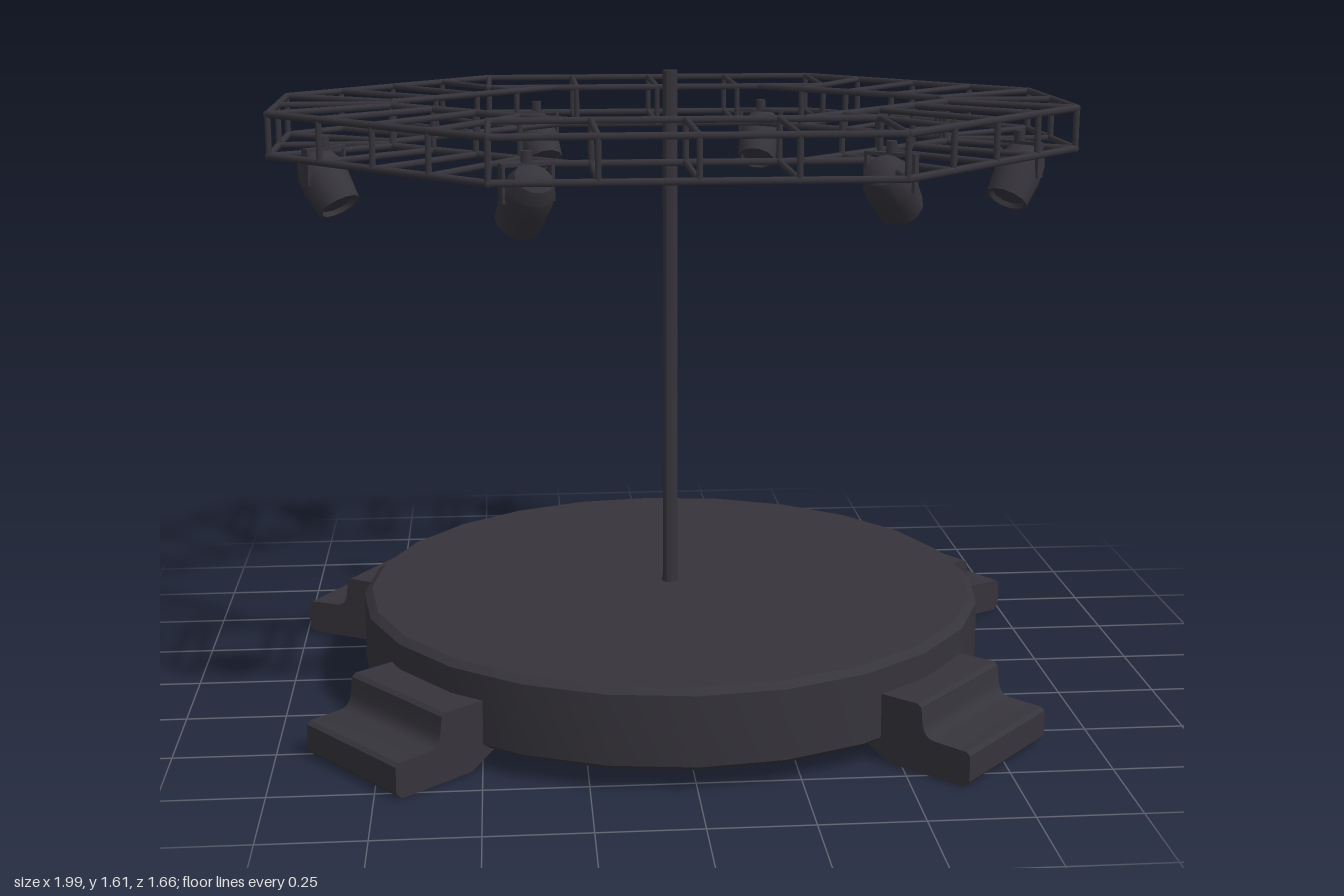
import * as THREE from 'three';
import { toCreasedNormals } from 'three/addons/utils/BufferGeometryUtils.js';

const charcoal = new THREE.MeshStandardMaterial({ color: 0x36343b });
charcoal.name = 'charcoal';
const V = (x, y, z) => new THREE.Vector3(x, y, z);
const UP = V(0, 1, 0);

function add(parent, name, geometry) {
  const mesh = new THREE.Mesh(geometry, charcoal);
  mesh.name = name;
  parent.add(mesh);
  return mesh;
}

function group(parent, name) {
  const g = new THREE.Group();
  g.name = name;
  parent.add(g);
  return g;
}

function lathe(profile, sides, crease = 0.6) {
  const points = profile.map(([r, y]) => new THREE.Vector2(r, y));
  return toCreasedNormals(new THREE.LatheGeometry(points, sides), crease);
}

// Round bar between two points
function bar(parent, name, a, b, r = 0.009) {
  const mesh = add(parent, name, new THREE.CylinderGeometry(r, r, a.distanceTo(b) + r, 6));
  mesh.position.copy(a).lerp(b, 0.5);
  mesh.quaternion.setFromUnitVectors(UP, b.clone().sub(a).normalize());
}

const LOW = 1.43, HIGH = 1.53;

// One box-truss section between an outer and an inner edge, given as [x, z] pairs
function trussSection(parent, outer, inner, stops) {
  const at = ([p, q], t, y) => V(p[0] + (q[0] - p[0]) * t, y, p[1] + (q[1] - p[1]) * t);
  for (const edge of [outer, inner]) {
    for (const y of [LOW, HIGH]) bar(parent, 'trussChord', at(edge, 0, y), at(edge, 1, y));
    for (const t of stops) bar(parent, 'trussPost', at(edge, t, LOW), at(edge, t, HIGH), 0.008);
  }
  for (const t of stops) {
    for (const y of [LOW, HIGH]) bar(parent, 'trussRung', at(outer, t, y), at(inner, t, y), 0.008);
  }
}

function buildTruss(parent) {
  const truss = group(parent, 'trussRing');
  for (const s of [-1, 1]) {
    // Long front and back runs
    trussSection(truss, [[-0.46, s * 0.79], [0.46, s * 0.79]],
      [[-0.46, s * 0.445], [0.46, s * 0.445]], [0, 0.26, 0.5, 0.74, 1]);
    // Short end runs
    trussSection(truss, [[s * 0.985, -0.24], [s * 0.985, 0.24]],
      [[s * 0.7, -0.05], [s * 0.7, 0.05]], [0, 0.5, 1]);
    // Diagonal runs
    for (const k of [-1, 1]) {
      trussSection(truss, [[s * 0.46, k * 0.79], [s * 0.985, k * 0.24]],
        [[s * 0.28, k * 0.445], [s * 0.7, k * 0.05]], [0.25, 0.5, 0.75]);
    }
  }
}

// Stage lamp: the housing points from its tail to its lens
function spotlight(parent, tail, lens) {
  const lamp = group(parent, 'spotlight');
  const body = group(lamp, 'lampBody');
  body.position.copy(tail).lerp(lens, 0.5);
  body.quaternion.setFromUnitVectors(UP, tail.clone().sub(lens).normalize());
  add(body, 'lampHousing', lathe([
    [0, -0.068], [0.042, -0.068], [0.046, -0.08], [0.054, -0.08], [0.06, -0.01],
    [0.058, 0.03], [0.045, 0.062], [0.025, 0.075], [0, 0.078],
  ], 12));
  // Yoke and clamp up to the truss
  const hang = group(lamp, 'lampYoke');
  hang.position.copy(body.position);
  hang.rotation.y = Math.atan2(lens.x - tail.x, lens.z - tail.z);
  for (const s of [-1, 1]) {
    add(hang, 'yokeArm', new THREE.BoxGeometry(0.008, 0.085, 0.022)).position.set(s * 0.06, 0.033, 0);
  }
  add(hang, 'yokeBridge', new THREE.BoxGeometry(0.128, 0.008, 0.022)).position.y = 0.075;
  add(hang, 'clamp', new THREE.CylinderGeometry(0.014, 0.014, 0.03, 8)).position.y = 0.09;
}

// Two-step stair, outer edge at radius r, facing angle a
function stair(parent, r, a) {
  const s = new THREE.Shape();
  s.moveTo(r - 0.22, 0.01);
  s.lineTo(r - 0.015, 0.005);
  s.lineTo(r, 0.02);
  s.lineTo(r, 0.085);
  s.lineTo(r - 0.01, 0.093);
  s.lineTo(r - 0.1, 0.097);
  s.quadraticCurveTo(r - 0.125, 0.1, r - 0.13, 0.13);
  s.lineTo(r - 0.135, 0.172);
  s.lineTo(r - 0.145, 0.18);
  s.lineTo(r - 0.31, 0.18);
  s.lineTo(r - 0.31, 0.06);
  s.closePath();
  const geo = new THREE.ExtrudeGeometry(s, { depth: 0.36, bevelEnabled: false, curveSegments: 4 });
  geo.translate(0, 0, -0.18);
  add(parent, 'stair', toCreasedNormals(geo, 0.6)).rotation.y = -a;
}

export function createModel() {
  const model = new THREE.Group();
  model.name = 'stage';

  // Round platform with a softened rim
  add(model, 'platform', lathe([
    [0, 0.055], [0.79, 0.055], [0.81, 0.07], [0.81, 0.245], [0.79, 0.26], [0, 0.26],
  ], 24));

  // Centre pole
  add(model, 'pole', lathe([[0.023, 0.255], [0.02, 0.28], [0.019, 1.61], [0, 1.61]], 12));

  // Stairs around the platform
  for (const [x, z] of [[0.9, -0.575], [-0.9, -0.55], [-0.81, 0.65], [0.755, 0.7]]) {
    stair(model, Math.hypot(x, z), Math.atan2(z, x));
  }

  buildTruss(model);

  // Lamps hung below the ring
  for (const s of [-1, 1]) {
    spotlight(model, V(s * 0.34, 1.41, -0.79), V(s * 0.31, 1.31, -0.71));
    spotlight(model, V(s * 0.885, 1.41, 0.155), V(s * 0.835, 1.32, 0.2));
  }
  spotlight(model, V(-0.36, 1.43, 0.73), V(-0.39, 1.34, 0.66));
  spotlight(model, V(0.43, 1.43, 0.65), V(0.48, 1.35, 0.58));

  return model;
}
